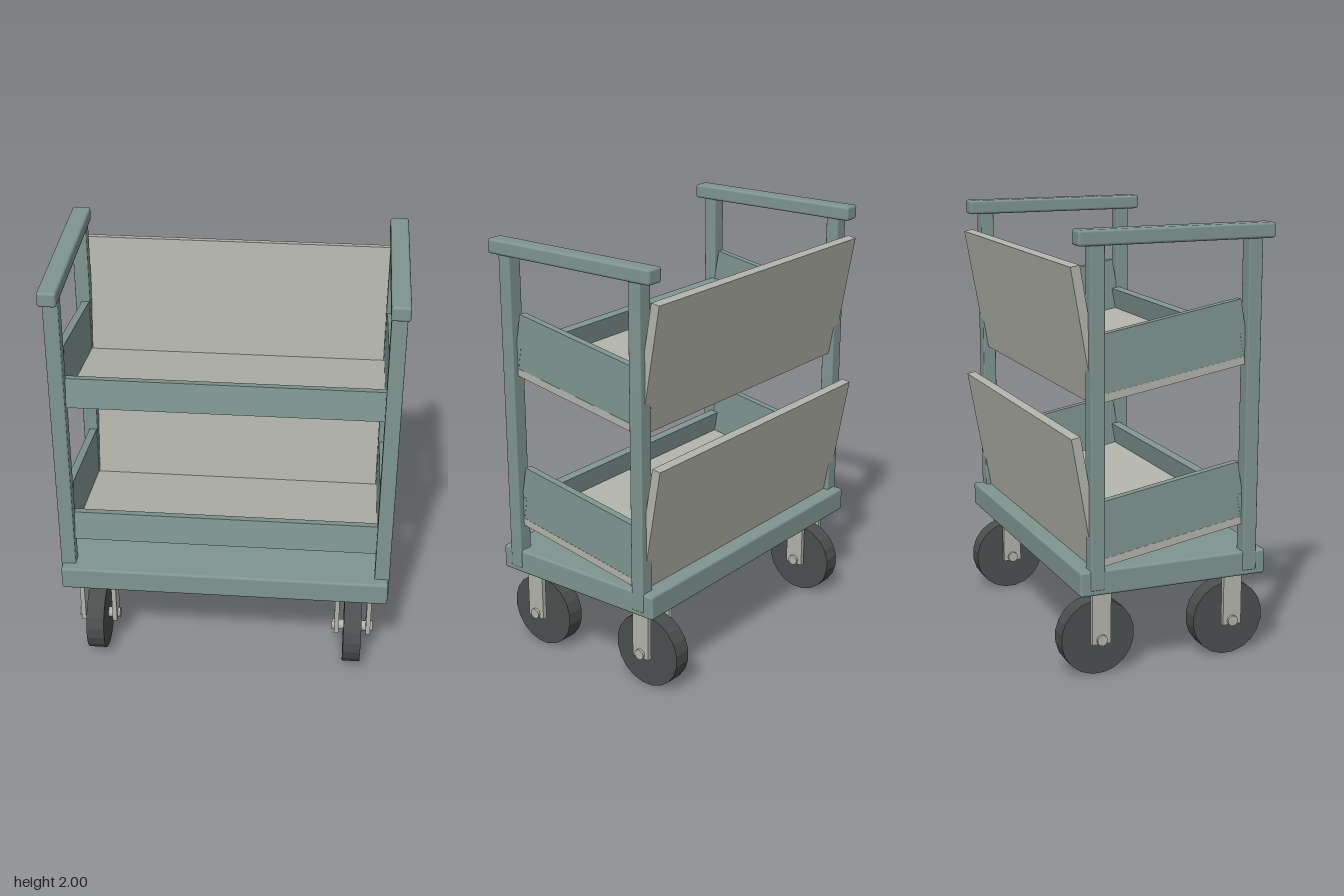
import * as THREE from 'three';
import { RoundedBoxGeometry } from 'three/addons/geometries/RoundedBoxGeometry.js';

const paint = new THREE.MeshStandardMaterial({ color: 0x7f9590 });
const board = new THREE.MeshStandardMaterial({ color: 0xb2b3aa });
const rubber = new THREE.MeshStandardMaterial({ color: 0x4b4e4e, flatShading: true });

function add(parent, name, geometry, material, x, y, z) {
  const mesh = new THREE.Mesh(geometry, material);
  mesh.name = name;
  mesh.position.set(x, y, z);
  parent.add(mesh);
  return mesh;
}

const box = (w, h, d) => new THREE.BoxGeometry(w, h, d);
const bevelBox = (w, h, d, r) => new RoundedBoxGeometry(w, h, d, 2, r);

// Cylinder lying along x, with a flat facing down
function roller(radius, length, sides) {
  return new THREE.CylinderGeometry(radius, radius, length, sides, 1, false, Math.PI / sides).rotateZ(Math.PI / 2);
}

// Tilted tray; its origin is the lower front edge
function createShelf(y) {
  const shelf = new THREE.Group();
  shelf.name = 'shelf';
  const width = 1.512, depth = 0.76, rail = 0.04, back = 0.042, floor = 0.035;
  const floorDepth = depth - rail - back;
  add(shelf, 'shelfFloor', box(width, floor, floorDepth), board, 0, floor / 2, -rail - floorDepth / 2);
  add(shelf, 'shelfBack', box(width, 0.6, back), board, 0, 0.3, -depth + back / 2);
  add(shelf, 'shelfFrontRail', box(width, 0.14, rail), paint, 0, 0.07, -rail / 2);
  for (const side of [-1, 1]) {
    add(shelf, 'shelfSide', box(0.036, 0.29 - floor, depth - back - 0.012), paint,
      side * 0.737, (0.29 + floor) / 2, -(depth - back + 0.012) / 2);
  }
  shelf.position.set(0, y, 0.375);
  shelf.rotation.x = -THREE.MathUtils.degToRad(10);
  return shelf;
}

// Wheel between two fork plates, under a mounting plate
function createCaster(x, z) {
  const caster = new THREE.Group();
  caster.name = 'caster';
  add(caster, 'wheel', roller(0.1745, 0.085, 20), rubber, 0, 0.1725, 0);
  add(caster, 'axle', roller(0.025, 0.2, 12), board, 0, 0.175, 0);
  add(caster, 'mountPlate', box(0.18, 0.015, 0.13), board, 0, 0.404, 0);
  for (const side of [-1, 1]) {
    add(caster, 'forkPlate', box(0.022, 0.245, 0.09), board, side * 0.077, 0.2775, 0);
  }
  caster.position.set(x, 0, z);
  return caster;
}

export function createModel() {
  const cart = new THREE.Group();
  cart.name = 'shelfCart';

  add(cart, 'base', bevelBox(1.56, 0.115, 0.896, 0.012), paint, 0, 0.4675, 0);

  for (const sx of [-1, 1]) {
    add(cart, 'handle', bevelBox(0.085, 0.068, 0.912, 0.012), paint, sx * 0.752, 1.966, 0);
    for (const sz of [-1, 1]) {
      add(cart, 'post', bevelBox(0.07, 1.51, 0.065, 0.006), paint, sx * 0.75, 1.19, sz * 0.367);
      cart.add(createCaster(sx * 0.623, sz * 0.322));
    }
  }

  for (const y of [0.656, 1.387]) cart.add(createShelf(y));

  return cart;
}
